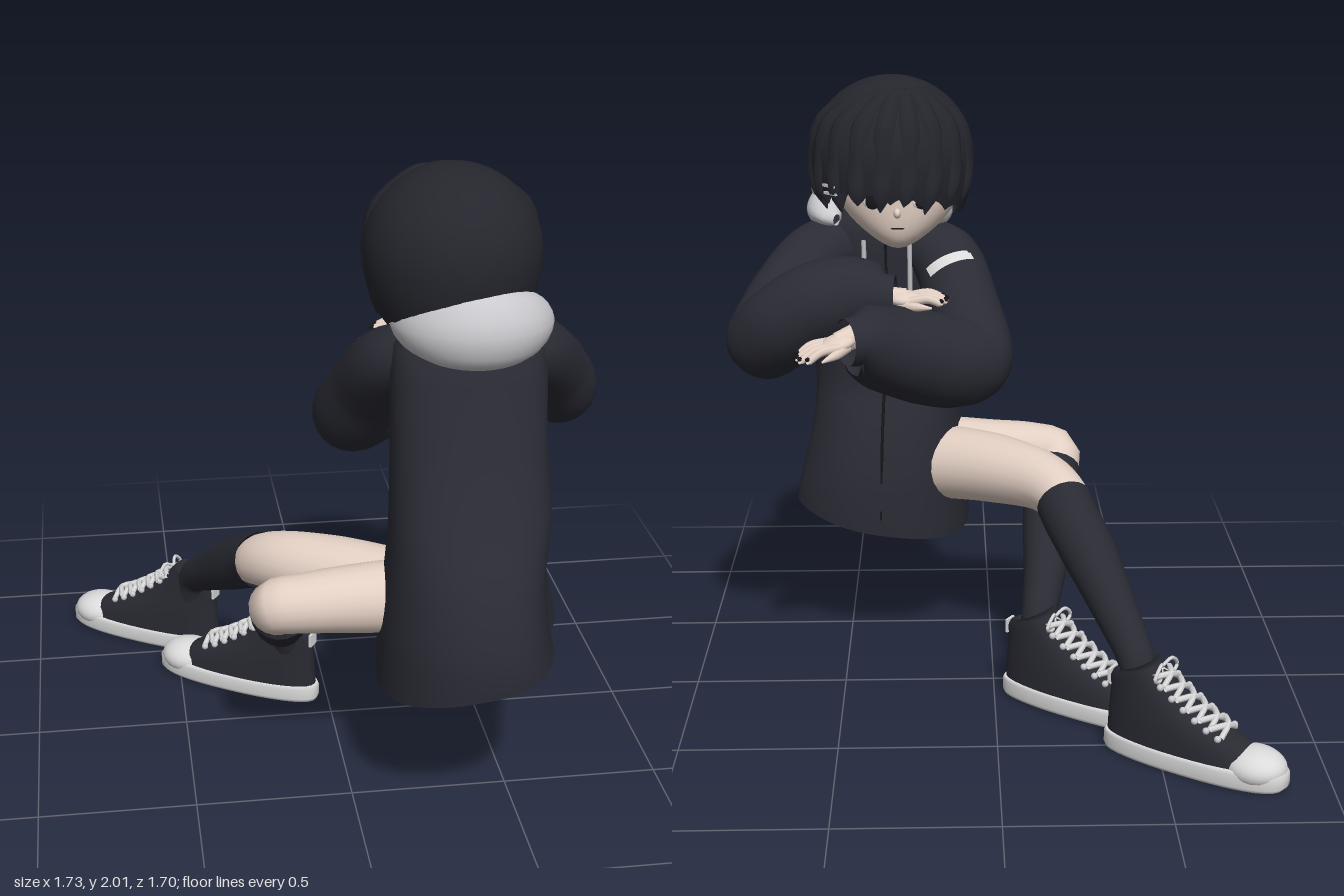
import * as THREE from 'three';

const V = (x, y, z) => new THREE.Vector3(x, y, z);
const paint = (name, color) => {
  const m = new THREE.MeshStandardMaterial({ color, side: THREE.DoubleSide });
  m.name = name;
  return m;
};

export function createModel() {
  const root = new THREE.Group();
  root.name = 'seatedFigure';
  const coatMat = paint('coat charcoal', 0x2a2b34);
  const hairMat = paint('hair black', 0x25262d);
  const sockMat = paint('sock black', 0x292a32);
  const skin = paint('skin', 0xe2cfc3);
  const grey = paint('hood grey', 0xcacace);
  const rubber = paint('rubber white', 0xdadadb);
  const black = paint('nail black', 0x17171b);

  const add = (parent, name, geo, mat, pos) => {
    const m = new THREE.Mesh(geo, mat);
    m.name = name;
    if (pos) m.position.set(...pos);
    parent.add(m);
    return m;
  };

  // Closed rings listed from bottom to top, joined into a skin
  const loft = (rings) => {
    const n = rings[0].length, idx = [];
    for (let i = 0; i < rings.length - 1; i++) for (let j = 0; j < n; j++) {
      const k = (j + 1) % n, a = i * n + j, b = i * n + k, c = a + n, d = b + n;
      idx.push(a, c, b, b, c, d);
    }
    const g = new THREE.BufferGeometry().setFromPoints(rings.flat());
    g.setIndex(idx);
    g.computeVertexNormals();
    return g;
  };
  const ring = (n, f) => Array.from({ length: n }, (_, j) => f((j / n) * Math.PI * 2));
  const pw = (v, e) => Math.sign(v) * Math.abs(v) ** e;

  // Tube with a radius at each path point: [x, y, z, r]
  const limb = (parent, name, pts, mat, seg = 28, sides = 18) => {
    const curve = new THREE.CatmullRomCurve3(pts.map(p => V(p[0], p[1], p[2])));
    const g = new THREE.TubeGeometry(curve, seg, 1, sides);
    const pos = g.attributes.position, v = V(0, 0, 0);
    for (let i = 0; i <= seg; i++) {
      const u = curve.getUtoTmapping(i / seg) * (pts.length - 1);
      const k = Math.min(Math.floor(u), pts.length - 2);
      const r = THREE.MathUtils.lerp(pts[k][3], pts[k + 1][3], u - k);
      const c = curve.getPointAt(i / seg);
      for (let j = 0; j <= sides; j++) {
        const q = i * (sides + 1) + j;
        v.fromBufferAttribute(pos, q).sub(c).multiplyScalar(r).add(c);
        pos.setXYZ(q, v.x, v.y, v.z);
      }
    }
    return add(parent, name, g, mat);
  };
  const blob = (parent, name, mat, pos, s) => {
    const m = add(parent, name, new THREE.SphereGeometry(1, 24, 16), mat, pos);
    m.scale.set(...s);
    return m;
  };

  // Coat: [y, centre x, centre z, half width, half depth, skew], with a slanted hem; y 0 marks the hem
  const body = [[0, .39, .52, .315, .33, 1], [.58, .388, .52, .308, .333, 1], [.66, .38, .52, .295, .325, .95],
    [.8, .37, .51, .268, .3, .65], [.9, .365, .5, .255, .255, .3], [1, .36, .485, .247, .215, 0], [1.2, .36, .43, .238, .18, 0],
    [1.4, .36, .4, .238, .16, 0], [1.48, .36, .385, .225, .145, 0], [1.53, .36, .375, .18, .12, 0], [1.56, .36, .37, .09, .09, 0]];
  add(root, 'coat', loft(body.map(([y, cx, cz, rx, rz, skew]) => ring(56, a => {
    const c = Math.cos(a), s = Math.sin(a);
    const tuck = .18 * skew * Math.max(0, c) * THREE.MathUtils.clamp(s + .45, 0, .5);
    return V(cx + rx * pw(c, .88) - tuck, y || .482 + .066 * c + .038 * s, cz + rz * pw(s, .88));
  }))), coatMat);
  blob(root, 'shorts', sockMat, [.37, .68, .53], [.19, .15, .21]);

  // Hood hanging behind the neck, tapering to both front ends
  const hoodRings = [];
  for (let i = 0; i <= 32; i++) {
    const t = i / 16 - 1, a = Math.PI / 2 - t * 2.2;
    const k = Math.sqrt(Math.max(0, 1 - t * t)), back = Math.cos(t * 1.5);
    const w = .012 + .062 * k, h = .015 + .105 * back ** 1.3;
    hoodRings.push(ring(20, b => {
      const up = Math.sin(b) * h;
      const r = .165 + .03 * back + w * pw(Math.cos(b), .9) - Math.abs(up) * .1 - up * .1;
      return V(.37 + r * 1.03 * Math.cos(a), 1.53 + .04 * back + up, .335 + r * 1.04 * Math.sin(a));
    }));
  }
  add(root, 'hood', loft(hoodRings), grey);

  // Drawstrings and zip on the chest
  for (const x of [.27, .42])
    limb(root, 'drawstring', [[x, 1.47, .2, .008], [x, 1.3, .213, .008], [x, 1.06, .232, .008]], grey, 10, 6);
  limb(root, 'zip', [[.35, 1.46, .24, .005], [.35, 1.2, .251, .005], [.36, 1, .27, .005], [.37, .8, .211, .005], [.38, .5, .191, .005]], black, 20, 6);

  // Sleeves, cuffs and hands
  const arms = [
    { side: 'left', arm: [[.44, 1.43, .39, .09], [.57, 1.405, .29, .115], [.67, 1.3, .15, .122], [.735, 1.185, .025, .126],
      [.67, 1.25, -.06, .138], [.56, 1.32, -.09, .14], [.45, 1.345, -.095, .136], [.365, 1.35, -.11, .112], [.35, 1.35, -.115, .078], [.31, 1.35, -.118, .074]],
      hand: [.275, 1.35, -.122], tip: [.14, 1.345, -.125] },
    { side: 'right', arm: [[.27, 1.43, .38, .09], [.155, 1.39, .28, .115], [.1, 1.265, .14, .122], [.067, 1.12, .01, .13],
      [.135, 1.13, -.07, .147], [.24, 1.17, -.14, .15], [.345, 1.215, -.205, .138], [.415, 1.25, -.25, .11], [.428, 1.25, -.258, .078], [.46, 1.25, -.275, .074]],
      hand: [.485, 1.25, -.285], tip: [.61, 1.21, -.345] }];
  for (const { side, arm, hand, tip } of arms) {
    limb(root, side + 'Sleeve', arm, coatMat, 60, 22);
    const h = V(...hand), d = V(...tip).sub(h), len = d.length();
    d.normalize();
    const across = V(0, 1, 0).cross(d).normalize();
    const g = new THREE.Group();
    g.name = side + 'Hand';
    root.add(g);
    const palm = blob(g, 'palm', skin, h.toArray(), [.055, .026, .06]);
    palm.quaternion.setFromRotationMatrix(new THREE.Matrix4().makeBasis(across, d.clone().cross(across), d));
    const wrist = h.clone().addScaledVector(d, -.08);
    limb(g, 'wrist', [[...wrist.toArray(), .042], [...h.toArray(), .034]], skin, 4, 12);
    for (let f = 0; f < 4; f++) {
      const o = (f - 1.5) * .028, L = len * (1 - .1 * Math.abs(f - 1.6));
      const at = (s, y, r) => [...h.clone().addScaledVector(d, L * s).addScaledVector(across, o * (1 + .1 * s)).add(V(0, y, 0)).toArray(), r];
      limb(g, 'finger', [at(.1, 0, .016), at(.6, .012, .0145), at(.92, 0, .012), at(1, -.005, .003)], skin, 10, 8);
      blob(g, 'nail', black, at(.96, .007, 0).slice(0, 3), [.009, .007, .009]);
    }
    const th = (s, o, r) => [...h.clone().addScaledVector(d, s).addScaledVector(across, o).add(V(0, -.012, 0)).toArray(), r];
    const ts = side === 'left' ? -1 : 1;
    limb(g, 'thumb', [th(-.02, .03 * ts, .018), th(.03, .055 * ts, .016), th(.08, .066 * ts, .004)], skin, 8, 8);
  }
  // White band wrapped over the right upper sleeve
  const along = V(-.38, -.55, -.74).normalize();
  const side = along.clone().cross(V(.2, .85, -.45)).normalize(), out = side.clone().cross(along);
  const band = add(root, 'sleeveBand', new THREE.CylinderGeometry(.128, .128, .04, 16, 1, true, -.65, 1.3), rubber, [.125, 1.325, .21]);
  band.quaternion.setFromRotationMatrix(new THREE.Matrix4().makeBasis(side, along, out));

  // Legs: skin from hip to below the knee, then a long sock
  limb(root, 'rightThigh', [[.4, .63, .49, .1], [.2, .65, .385, .13], [-.02, .665, .245, .118], [-.17, .655, .13, .1],
    [-.232, .625, .05, .088], [-.26, .575, -.03, .07]], skin, 36, 20);
  limb(root, 'rightSock', [[-.236, .615, .035, .094], [-.257, .582, -.035, .093], [-.31, .505, -.17, .09], [-.38, .385, -.36, .07], [-.43, .29, -.5, .058], [-.44, .2, -.53, .05]], sockMat);
  limb(root, 'leftThigh', [[.42, .64, .51, .1], [.2, .67, .45, .12], [0, .67, .44, .107], [-.15, .668, .446, .094],
    [-.228, .655, .43, .088], [-.22, .59, .36, .07]], skin, 36, 20);
  limb(root, 'leftSock', [[-.216, .62, .39, .095], [-.208, .57, .325, .093], [-.193, .48, .2, .088], [-.172, .36, .03, .07], [-.148, .28, -.1, .058], [-.135, .2, -.13, .05]], sockMat);

  // High-top shoes, toe along local +z
  const foot = (y, z0, z1, w, e = .75, tilt = 0) => ring(36, a => V(
    w * (1 + .12 * Math.sin(a)) * pw(Math.cos(a), e), y + tilt * Math.sin(a), (z0 + z1) / 2 + (z1 - z0) / 2 * pw(Math.sin(a), .9)));
  const shoe = (name, x, z) => {
    const g = new THREE.Group();
    g.name = name;
    g.position.set(x, 0, z);
    g.rotation.y = Math.atan2(-.83, -.55);
    root.add(g);
    add(g, 'sole', loft([foot(0, .2, .2, 0), foot(0, -.1, .5, .085), foot(.012, -.105, .512, .092), foot(.05, -.105, .512, .092), foot(.06, -.1, .5, .087), foot(.06, .2, .2, 0)]), rubber);
    add(g, 'upper', loft([[.05, -.095, .47, .085], [.09, -.093, .43, .083], [.13, -.09, .35, .079], [.17, -.087, .25, .073],
      [.215, -.083, .17, .066, .006], [.255, -.085, .11, .063, .015], [.285, -.075, .078, .064, .025], [.295, -.055, .062, .058, .028],
      [.26, -.045, .05, .05, .02], [.25, 0, 0, 0]]
      .map(([y, z0, z1, w, tilt]) => foot(y, z0, z1, w, .85, tilt))), sockMat);
    blob(g, 'toeCap', rubber, [0, .055, .405], [.088, .06, .1]);
    add(g, 'heelPatch', new THREE.BoxGeometry(.045, .045, .009), rubber, [0, .235, -.087]);
    // Crossed laces and eyelets climbing the tongue
    for (let i = 0; i < 6; i++) {
      const t = i / 6, lz = .325 - .235 * t, ly = .152 + .15 * t ** 1.2, w = .052;
      for (const s of [-1, 1]) {
        limb(g, 'lace', [[s * w, ly - .015, lz - .012, .01], [0, ly + .012, lz - .012, .01], [-s * w, ly + .01, lz - .045, .01]], rubber, 6, 6);
        blob(g, 'eyelet', grey, [s * (w + .008), ly - .013, lz - .018], [.011, .011, .011]);
      }
    }
    for (const s of [-1, 1])
      limb(g, 'laceBow', [[0, .3, .085, .006], [s * .035, .32, .1, .006], [s * .075, .285, .1, .006], [s * .04, .27, .1, .006], [0, .295, .085, .006]], rubber, 16, 6);
  };
  shoe('rightShoe', -.43, -.535);
  shoe('leftShoe', -.125, -.14);

  // Head with a narrowed chin
  limb(root, 'neck', [[.36, 1.46, .37, .08], [.33, 1.55, .3, .07], [.31, 1.62, .27, .07]], skin, 8);
  const faceGeo = new THREE.SphereGeometry(1, 32, 24), fp = faceGeo.attributes.position;
  for (let i = 0; i < fp.count; i++) {
    const t = Math.max(0, -fp.getY(i));
    fp.setX(i, fp.getX(i) * (1 - .4 * t * t));
    fp.setZ(i, fp.getZ(i) - .45 * t * t);
  }
  faceGeo.computeVertexNormals();
  add(root, 'face', faceGeo, skin, [.305, 1.65, .25]).scale.set(.205, .195, .18);
  blob(root, 'nose', skin, [.305, 1.585, .066], [.012, .016, .018]);
  blob(root, 'mouth', black, [.305, 1.535, .07], [.022, .003, .006]);
  blob(root, 'leftEar', skin, [.578, 1.665, .275], [.018, .06, .02]).rotation.x = -.2;
  for (const s of [-1, 1]) {
    blob(root, 'eyeWhite', rubber, [.305 + s * .08, 1.62, .083], [.034, .024, .006]).rotation.y = -s * .4;
    blob(root, 'iris', black, [.305 + s * .08, 1.62, .079], [.024, .024, .006]).rotation.y = -s * .4;
  }

  // Hair shell with a jagged hem, short over the face
  const hairPt = (a, y, k = 1) => {
    const h = (y - 1.74) / .26;
    const r = k * (h > 0 ? Math.sqrt(Math.max(0, 1 - h * h)) : 1 - .28 * h * h);
    return V(.325 + .268 * r * Math.cos(a), y, .283 + .28 * r * Math.sin(a));
  };
  const hem = a => {
    const front = Math.max(0, -Math.sin(a));
    return 1.54 + .08 * front ** 1.5 + .025 * Math.abs(Math.sin(a * 8)) + (Math.cos(a) > 0 ? .05 * Math.cos(a) : 0);
  };
  const hairRings = [];
  for (let i = 0; i <= 20; i++) {
    const s = i / 20;
    hairRings.push(ring(96, a => hairPt(a, hem(a) + (2 - hem(a)) * Math.sin(s * Math.PI / 2))));
  }
  add(root, 'hair', loft(hairRings), hairMat);
  // Broad, shallow fringe locks fanning out from a whorl on the crown
  const whorl = V(.275, 1.955, .15);
  for (let i = 0; i < 9; i++) {
    const a = -Math.PI / 2 + (i - 4) * .33, end = 1.59 - .006 * Math.abs(i - 4) + (i % 2) * .025;
    const pts = [[1.955, .015, 0], [1.93, .03, .55], [1.85, .046, 1], [1.72, .05, 1], [1.65, .034, 1], [end, .002, 1]];
    limb(root, 'fringeLock', pts.map(([y, r, mix], j) =>
      [...whorl.clone().lerp(hairPt(a + j * .03, y, j > 3 ? .92 : .86), mix).toArray(), r]), hairMat, 20, 10);
  }
  // Two hair clips at the left temple
  for (const y of [1.645, 1.67]) {
    const p = hairPt(-.75, y, 1.02);
    add(root, 'hairClip', new THREE.BoxGeometry(.008, .009, .06), grey, p.toArray()).rotation.y = .75;
  }
  return root;
}
